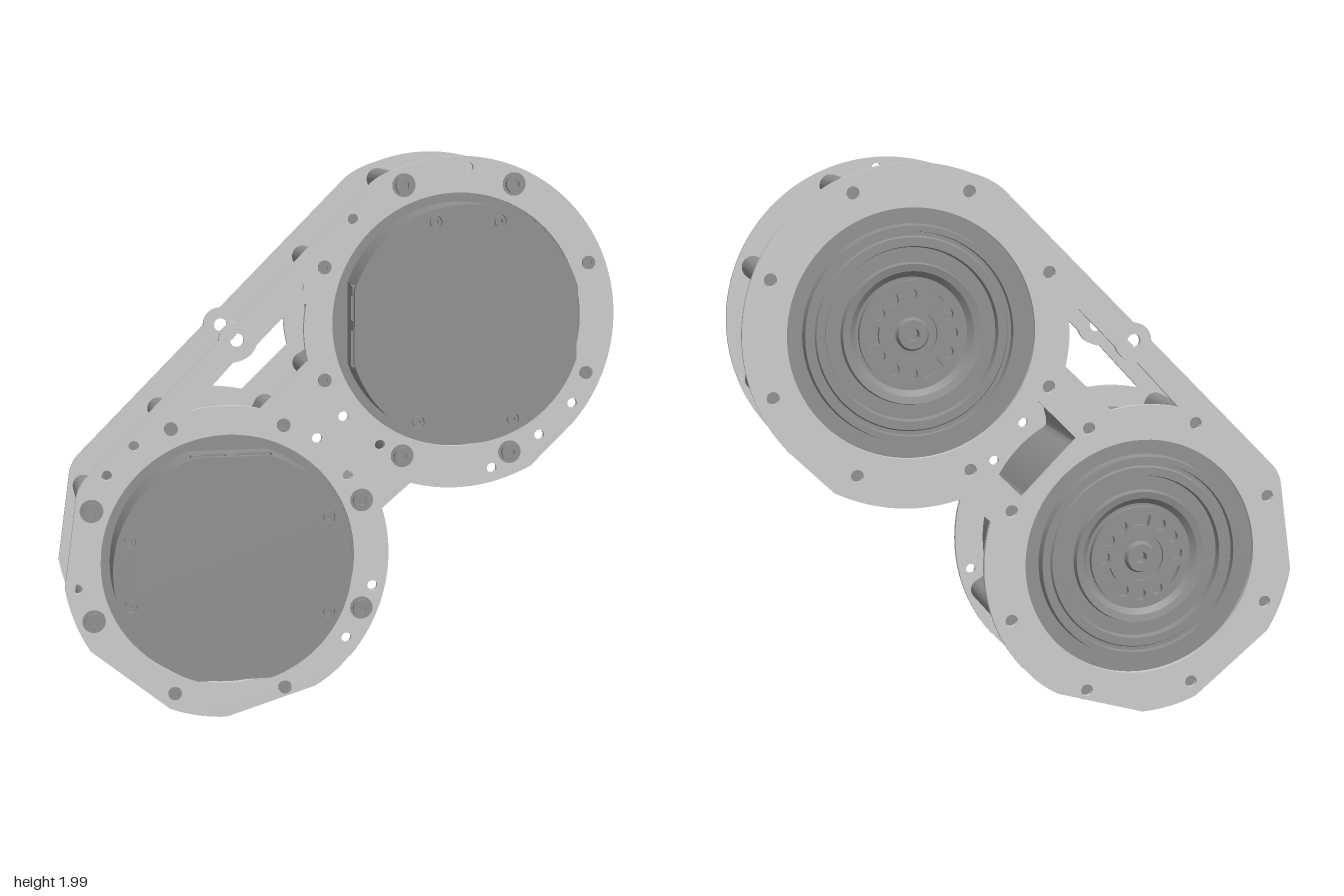
import * as THREE from 'three';
import { toCreasedNormals } from 'three/addons/utils/BufferGeometryUtils.js';

const plateMat = new THREE.MeshStandardMaterial({ color: 0xcccccc });
const motorMat = new THREE.MeshStandardMaterial({ color: 0x909090 });
const A = [-0.417, 0.585], B = [0.41, 1.42]; // motor centres
const BOLT_R = 0.52;
const rad = THREE.MathUtils.degToRad;
const polar = (r, deg, c = [0, 0]) => [c[0] + r * Math.cos(rad(deg)), c[1] + r * Math.sin(rad(deg))];
const boltAngles = Array.from({ length: 8 }, (_, i) => 22.5 + 45 * i);

function mesh(name, geo, mat) {
  const m = new THREE.Mesh(geo, mat);
  m.name = name;
  return m;
}

function extrude(name, shape, z0, z1, mat, curveSegments = 32) {
  const geo = new THREE.ExtrudeGeometry(shape, { depth: z1 - z0, bevelEnabled: false, curveSegments });
  geo.translate(0, 0, z0);
  return mesh(name, toCreasedNormals(geo, 0.5), mat);
}

function circle(r, [x, y] = [0, 0], segs = 0) {
  if (segs) return new THREE.Path(Array.from({ length: segs }, (_, i) =>
    new THREE.Vector2(...polar(r, -i * 360 / segs, [x, y]))));
  return new THREE.Path().absarc(x, y, r, 0, Math.PI * 2, true);
}

function disc(r, holes = []) {
  const s = new THREE.Shape().absarc(0, 0, r, 0, Math.PI * 2, false);
  s.holes.push(...holes);
  return s;
}

// Socket-head screw standing on z
function screw(name, r, z, h, [x, y]) {
  const g = new THREE.Group();
  g.name = name;
  g.add(extrude('head', disc(r, [circle(r * 0.5, [0, 0], 6)]), 0, h, motorMat, 12));
  g.add(extrude('socketFloor', disc(r * 0.7), 0, h * 0.3, motorMat, 12));
  g.position.set(x, y, z);
  return g;
}

// Shared outline of both plates, with the triangular window
function plateShape() {
  const s = new THREE.Shape();
  s.moveTo(0.093, 1.907);
  s.absarc(-0.38, 1.37, 0.064, Math.PI / 2, Math.PI, false); // tab on the strut
  s.lineTo(-0.916, 0.897);
  s.quadraticCurveTo(-0.94, 0.87, -0.948, 0.839);
  s.lineTo(-0.996, 0.505);
  s.quadraticCurveTo(-0.975, 0.38, -0.911, 0.276);
  s.lineTo(-0.635, 0.048);
  s.quadraticCurveTo(-0.54, 0.008, -0.43, 0.005);
  s.lineTo(-0.109, 0.101);
  s.quadraticCurveTo(-0.035, 0.14, 0.019, 0.207);
  s.absarc(A[0], A[1], 0.58, rad(-40.9), rad(16.6), false);
  s.lineTo(0.242, 0.839);
  s.quadraticCurveTo(0.47, 0.775, 0.69, 0.885);
  s.lineTo(0.838, 1.03);
  s.absarc(B[0], B[1], 0.58, rad(-42.4), rad(110.8), false);
  s.quadraticCurveTo(0.14, 1.945, 0.093, 1.907);

  const w = new THREE.Path();
  w.moveTo(-0.178, 1.487);
  w.lineTo(-0.135, 1.492);
  w.quadraticCurveTo(-0.155, 1.39, -0.13, 1.29);
  w.lineTo(-0.3, 1.126);
  w.quadraticCurveTo(-0.42, 1.155, -0.55, 1.126);
  w.lineTo(-0.4, 1.3);
  w.moveTo(-0.178, 1.487);
  const win = new THREE.Path();
  win.moveTo(-0.178, 1.487);
  win.lineTo(-0.135, 1.492);
  win.quadraticCurveTo(-0.155, 1.39, -0.13, 1.29);
  win.lineTo(-0.3, 1.126);
  win.quadraticCurveTo(-0.42, 1.155, -0.55, 1.126);
  win.lineTo(-0.395, 1.292);
  win.quadraticCurveTo(-0.33, 1.3, -0.312, 1.352);
  win.lineTo(-0.178, 1.487);
  s.holes.push(win, circle(0.024, [-0.38, 1.37]));
  return s;
}

function frontPlate() {
  const s = plateShape();
  s.holes.push(circle(0.453, A), circle(0.453, B));
  const small = [[0.443, 1.96], [0.03, 1.785], [-0.162, 1.55], [-0.746, 1.009], [-0.842, 0.908], [-0.953, 0.505],
    [0.008, 0.276], [0.104, 0.467], [0.544, 0.882], [0.72, 0.998], [0.842, 1.11],
    [-0.098, 1.014], [-0.003, 1.089], [0.13, 0.982], [0.013, 0.876]];
  small.forEach(p => s.holes.push(circle(0.018, p)));
  return extrude('frontPlate', s, 0.15, 0.168, plateMat, 40);
}

function backPlate() {
  const s = plateShape();
  for (const c of [A, B]) {
    s.holes.push(circle(0.43, c));
    boltAngles.forEach(a => s.holes.push(circle(0.022, polar(BOLT_R, a, c))));
  }
  // Opening between the two struts of the neck, aligned with the motor axis
  const k = Math.SQRT1_2, mx = (A[0] + B[0]) / 2, my = (A[1] + B[1]) / 2;
  s.holes.push(new THREE.Path([[-0.1, -0.14], [-0.1, 0.14], [0.1, 0.14], [0.1, -0.14]].map(([u, v]) =>
    new THREE.Vector2(mx + (u - v) * k, my + (u + v) * k))));
  return extrude('backPlate', s, -0.288, -0.27, plateMat, 40);
}

// Round housing with eight filleted bolt ribs
function housing() {
  const R = 0.475, s = new THREE.Shape();
  s.moveTo(...polar(R, 15));
  for (const a of boltAngles) {
    const c = polar(BOLT_R, a);
    s.quadraticCurveTo(...polar(R + 0.002, a - 5), ...polar(0.04, a - 80, c));
    s.absarc(c[0], c[1], 0.04, rad(a - 80), rad(a + 80), false);
    s.quadraticCurveTo(...polar(R + 0.002, a + 5), ...polar(R, a + 7.5));
    s.absarc(0, 0, R, rad(a + 7.5), rad(a + 37.5), false);
  }
  s.holes.push(circle(0.45));
  return extrude('housing', s, -0.27, 0.15, motorMat, 14);
}

// Turned core: stepped rotor face at the back, flat at the front
function core() {
  const pts = [[0, -0.25], [0.022, -0.25], [0.022, -0.292], [0.05, -0.292], [0.058, -0.272], [0.09, -0.272],
    [0.09, -0.262], [0.195, -0.262], [0.215, -0.28], [0.24, -0.285], [0.245, -0.262], [0.295, -0.262],
    [0.3, -0.285], [0.33, -0.285], [0.335, -0.275], [0.348, -0.275], [0.35, -0.297], [0.37, -0.297],
    [0.375, -0.262], [0.452, -0.262], [0.452, 0.148], [0, 0.148]].map(p => new THREE.Vector2(...p));
  const geo = new THREE.LatheGeometry(pts, 72);
  geo.rotateX(Math.PI / 2);
  return mesh('core', toCreasedNormals(geo, 0.4), motorMat);
}

// Output hub with holes and three curved slots
function hub() {
  const holes = [circle(0.085)];
  for (let i = 0; i < 3; i++) {
    const a = 120 * i + 90;
    for (const d of [32, 60, 88]) holes.push(circle(0.021, polar(0.137, a + d)));
    const slot = new THREE.Path();
    slot.absarc(0, 0, 0.157, rad(a - 14), rad(a + 14), false);
    slot.absarc(0, 0, 0.117, rad(a + 14), rad(a - 14), true);
    slot.closePath();
    holes.push(slot);
  }
  return extrude('hub', disc(0.185, holes), -0.285, -0.26, motorMat, 32);
}

// Hollow front cap with two flats, cable notches and four screws
function cap() {
  const g = new THREE.Group();
  g.name = 'cap';
  const R = 0.42, f = 72.2;
  const face = new THREE.Shape();
  face.absarc(0, 0, R, rad(-f), rad(f), false);
  face.absarc(0, 0, R, rad(180 - f), rad(180 + f), false);
  face.closePath();
  const spots = [27, -27, 162.3, -162.3].map(a => polar(0.378, a));
  spots.forEach(p => face.holes.push(circle(0.022, p)));
  g.add(extrude('capFace', face, 0.278, 0.3, motorMat, 40));
  for (const mid of [0, 180]) {
    const wall = new THREE.Shape();
    wall.absarc(0, 0, R, rad(mid - 70), rad(mid + 70), false);
    wall.absarc(0, 0, 0.35, rad(mid + 67), rad(mid - 67), true);
    wall.closePath();
    g.add(extrude('capWall', wall, 0.148, 0.279, motorMat, 40));
  }
  for (const side of [1, -1]) {
    const shelf = mesh('connectorShelf', new THREE.BoxGeometry(0.29, 0.05, 0.062), motorMat);
    shelf.position.set(0, side * 0.37, 0.179);
    const pin = mesh('connectorPin', new THREE.BoxGeometry(0.035, 0.05, 0.035), motorMat);
    pin.position.set(0, side * 0.37, 0.225);
    const lug = mesh('connectorLug', new THREE.BoxGeometry(0.035, 0.05, 0.03), motorMat);
    lug.position.set(-0.12, side * 0.37, 0.222);
    g.add(shelf, pin, lug);
  }
  spots.forEach(p => g.add(screw('capScrew', 0.019, 0.278, 0.02, p)));
  return g;
}

function motor(name, c, turn) {
  const g = new THREE.Group();
  g.name = name;
  g.add(housing(), core(), hub(), cap());
  // Large bolts left and right of the cap, small screws above and below
  for (const a of boltAngles) {
    const p = polar(BOLT_R, a);
    if (Math.abs(Math.cos(rad(a))) > 0.8) {
      g.add(extrudeWasher(p), screw('mountBolt', 0.032, 0.17, 0.018, p));
    } else {
      g.add(screw('plateScrew', 0.024, 0.166, 0.008, p));
    }
  }
  g.position.set(c[0], c[1], 0);
  g.rotation.z = turn;
  return g;
}

function extrudeWasher([x, y]) {
  const w = extrude('washer', disc(0.041), 0.166, 0.172, motorMat, 24);
  w.position.set(x, y, 0);
  return w;
}

export function createModel() {
  const model = new THREE.Group();
  model.name = 'twinMotorBracket';
  model.add(frontPlate(), backPlate(), motor('lowerMotor', A, 0), motor('upperMotor', B, -Math.PI / 2));
  return model;
}
